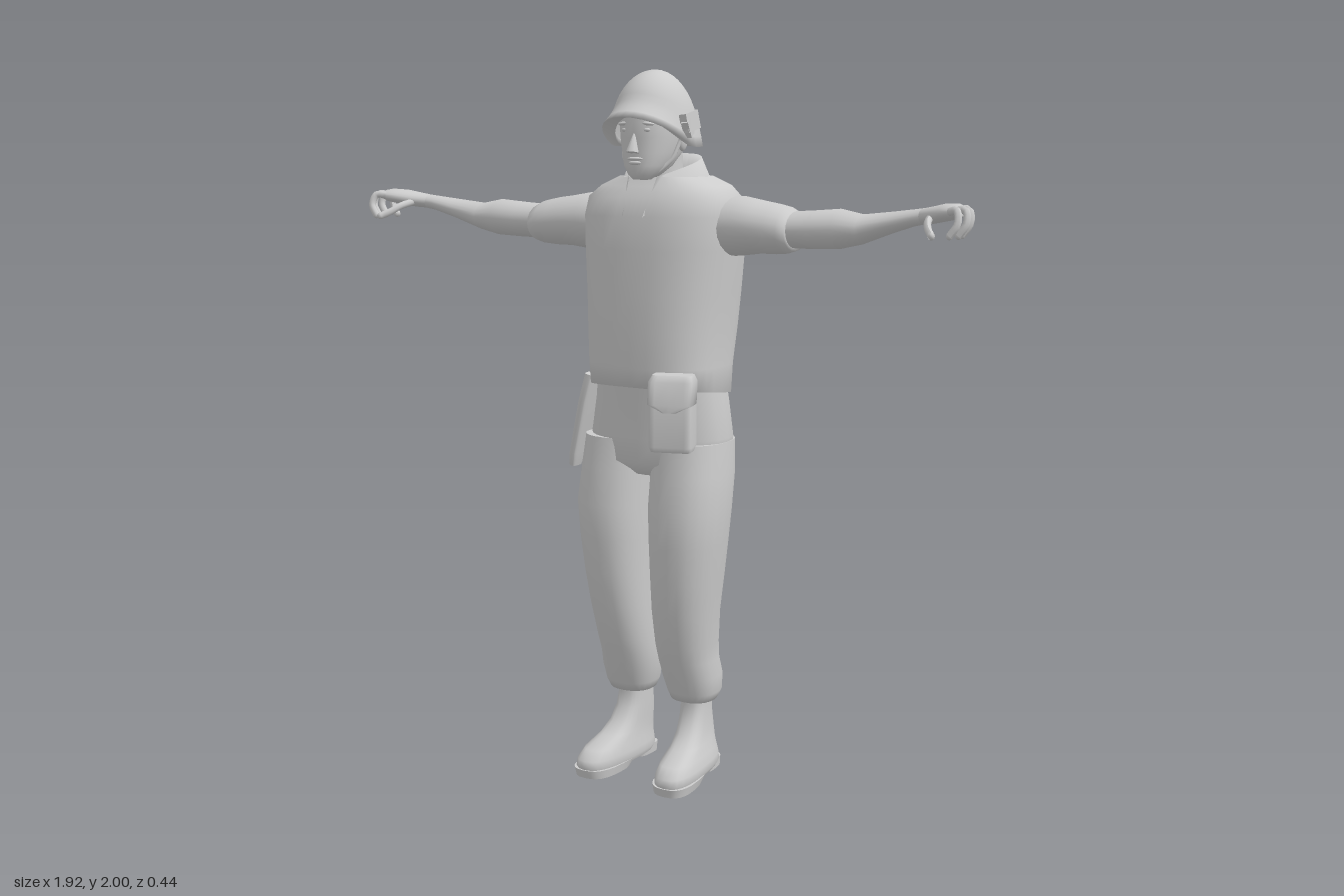
import * as THREE from 'three';

const material = new THREE.MeshStandardMaterial({ color: 0xcccccc, side: THREE.DoubleSide });

// Surface from rows of points; columns join up when closed.
function grid(rows, closed) {
  const n = rows[0].length, index = [];
  for (let j = 0; j < rows.length - 1; j++) {
    for (let i = 0; i < (closed ? n : n - 1); i++) {
      const a = j * n + i, b = j * n + (i + 1) % n;
      index.push(a, b, b + n, a, b + n, a + n);
    }
  }
  const geo = new THREE.BufferGeometry();
  geo.setAttribute('position', new THREE.Float32BufferAttribute(rows.flat(2), 3));
  geo.setIndex(index);
  geo.computeVertexNormals();
  return geo;
}

// Loft through rounded sections [height, a0, a1, z0, z1], capped at both ends.
// Along 'y' the a-range is x; along 'x' it is y. Higher power gives squarer sections.
function loft(sections, { axis = 'y', power = 2.3, seg = 24, warp } = {}) {
  const ring = ([h, a0, a1, z0, z1], size = 1) => Array.from({ length: seg }, (_, i) => {
    const t = i / seg * Math.PI * 2;
    const round = v => Math.sign(v) * Math.abs(v) ** (2 / power) * size / 2;
    const s = round(Math.sin(t)), z = (z0 + z1) / 2 + (z1 - z0) * round(Math.cos(t));
    const m = (a0 + a1) / 2;
    const p = axis === 'y' ? [m + (a1 - a0) * s, h, z] : [h, m - (a1 - a0) * s, z];
    return warp ? warp(p) : p;
  });
  const first = sections[0], last = sections[sections.length - 1];
  return grid([ring(first, 0), ring(first), ...sections.map(s => ring(s)), ring(last), ring(last, 0)], true);
}

// x -> offset + scale * x, keeping faces outward when mirrored.
function remapX(geo, scale, offset) {
  const g = geo.clone().applyMatrix4(new THREE.Matrix4().makeScale(scale, 1, 1)).translate(offset, 0, 0);
  if (scale < 0) g.setIndex(Array.from(g.index.array).reverse());
  g.computeVertexNormals();
  return g;
}

export function createModel() {
  const model = new THREE.Group();
  const add = (name, geo, pos = [0, 0, 0], rot = [0, 0, 0], size = [1, 1, 1]) => {
    const mesh = new THREE.Mesh(geo, material);
    mesh.name = name;
    mesh.position.set(...pos);
    mesh.rotation.set(...rot);
    mesh.scale.set(...size);
    model.add(mesh);
  };
  const box = (...s) => new THREE.BoxGeometry(...s);
  const ball = new THREE.SphereGeometry(1, 14, 10);

  // Torso: vest with a hem that dips at the back, and trouser seat
  add('vest', loft([
    [1.14, -.13, .21, -.14, .11], [1.13, -.155, .235, -.17, .145], [1.2, -.16, .232, -.19, .15],
    [1.3, -.165, .238, -.21, .152], [1.4, -.17, .245, -.22, .15], [1.52, -.178, .258, -.215, .145],
    [1.61, -.182, .264, -.2, .137], [1.66, -.175, .255, -.185, .118], [1.69, -.14, .225, -.17, .095],
    [1.715, -.08, .165, -.155, .08],
  ], { power: 2.6, seg: 36, warp: ([x, y, z]) => [x, y < 1.2 ? y + .12 * z : y, z] }));
  add('trouserSeat', loft([
    [.89, -.08, .155, -.1, .07], [.93, -.17, .245, -.145, .11], [1, -.175, .25, -.16, .11],
    [1.1, -.155, .237, -.155, .115], [1.17, -.145, .225, -.15, .12],
  ]));

  // Turned-up collar, open to a V at the front
  const collar = [0, 1, 2].map(k => Array.from({ length: 33 }, (_, i) => {
    const t = 1 - i / 16, e = t ** 6, a = Math.PI - t * 2.6;
    const r = [.035, 0, -.014][k];
    const y = [1.685 - .075 * e, 1.775 - .06 * t * t, 1.7 - .06 * e][k];
    const pull = k === 1 ? .15 : .55;
    return [.04 + (.1 + r) * Math.sin(a) * (1 - pull * e), y, -.03 + (.11 + r) * Math.cos(a) + (k === 1 ? .02 : .045) * e];
  }));
  add('collar', grid(collar, false));

  // Head
  add('neck', loft([[1.62, -.03, .11, -.09, .07], [1.7, -.02, .1, -.08, .055], [1.8, -.02, .1, -.07, .06]], { power: 2 }));
  add('head', loft([
    [1.708, .015, .065, .065, .108], [1.72, 0, .08, .03, .122], [1.745, -.02, .1, -.02, .128],
    [1.78, -.032, .112, -.06, .128], [1.82, -.04, .12, -.078, .13], [1.86, -.043, .123, -.085, .132],
    [1.91, -.04, .12, -.08, .125],
  ]));
  add('nose', new THREE.ConeGeometry(.018, .06, 8), [.04, 1.81, .132], [-.2, 0, 0]);
  add('upperLip', ball, [.04, 1.764, .125], [0, 0, 0], [.024, .005, .009]);
  add('lowerLip', ball, [.04, 1.753, .125], [0, 0, 0], [.02, .006, .008]);
  for (const s of [-1, 1]) {
    add('eye', ball, [.04 + s * .032, 1.84, .117], [0, 0, 0], [.013, .007, .01]);
    add('eyebrow', ball, [.04 + s * .034, 1.857, .118], [0, 0, -s * .1], [.022, .006, .012]);
    add('ear', ball, [.04 + s * .08, 1.815, .01], [0, 0, 0], [.012, .032, .02]);
  }

  // Helmet: dome with a raised peak at the front, rim turned inside
  const helmet = [];
  for (let j = 0; j <= 14; j++) {
    helmet.push(Array.from({ length: 36 }, (_, i) => {
      const a = i / 36 * Math.PI * 2, front = Math.max(0, Math.cos(a)) ** 1.5;
      const rim = 1.795 + .078 * front;
      const phi = Math.min(j, 12) / 12 * Math.PI / 2;
      const flare = Math.max(0, Math.min(j, 12) / 12 - .75) * 4;
      let r = Math.sin(phi), y = rim + (2 - rim) * Math.cos(phi);
      let peak = (.008 + .038 * front ** 1.5) * flare ** 1.5;
      if (j > 12) { r = .9; y = rim + (j - 12) * .015 - .012; peak = 0; }
      return [.043 + (.12 * r + peak) * Math.sin(a), y, .024 + (.126 * r + peak) * Math.cos(a)];
    }));
  }
  add('helmet', grid(helmet.reverse(), true));
  add('helmetBuckle', box(.022, .05, .065), [.163, 1.862, .045], [.2, 0, .1]);
  add('helmetClip', box(.02, .045, .03), [.165, 1.845, .06], [.5, .2, 0]);
  // Strap hanging under the rim
  const strap = new THREE.CatmullRomCurve3([[-.05, 1.81, .04], [-.03, 1.755, .06], [.04, 1.712, .085],
    [.11, 1.755, .06], [.13, 1.81, .04]].map(p => new THREE.Vector3(...p)));
  add('chinStrap', new THREE.TubeGeometry(strap, 24, .006, 6));

  // Arms, measured outward from the shoulder
  const armWarp = { axis: 'x', seg: 20, power: 2 };
  const armParts = [
    ['sleeve', loft([
      [0, 1.5, 1.66, -.14, .05], [.06, 1.505, 1.665, -.142, .05], [.12, 1.512, 1.655, -.14, .045],
      [.17, 1.512, 1.648, -.135, .042], [.21, 1.515, 1.64, -.13, .035], [.235, 1.522, 1.628, -.122, .028],
      [.235, 1.535, 1.615, -.11, .015],
    ], armWarp)],
    ['arm', loft([
      [.18, 1.53, 1.625, -.11, .02], [.3, 1.53, 1.632, -.115, .012], [.38, 1.533, 1.638, -.12, .015],
      [.45, 1.547, 1.625, -.115, 0], [.55, 1.58, 1.635, -.098, -.008], [.62, 1.6, 1.643, -.077, -.015],
      [.66, 1.607, 1.648, -.07, -.013],
    ], armWarp)],
    ['palm', loft([
      [.64, 1.605, 1.645, -.073, -.015], [.68, 1.608, 1.652, -.074, .005], [.72, 1.615, 1.66, -.07, .028],
      [.76, 1.622, 1.662, -.062, .036], [.78, 1.63, 1.655, -.052, .03],
    ], armWarp)],
  ];
  const digits = [-.047, -.02, .007, .029].map((z, i) => {
    const reach = [.785, .802, .805, .79][i];
    return [[.755, 1.643, z], [reach - .008, 1.646, z * 1.15 + .008], [reach, 1.615, z * 1.2 + .018], [reach - .02, 1.585, z * 1.2 + .024]];
  });
  digits.push([[.68, 1.625, -.01], [.695, 1.612, .04], [.71, 1.597, .065], [.73, 1.585, .088]]);
  for (const points of digits) {
    const path = new THREE.CatmullRomCurve3(points.map(p => new THREE.Vector3(...p)));
    const tip = new THREE.SphereGeometry(.01, 8, 6).translate(...points[3]);
    armParts.push(['finger', new THREE.TubeGeometry(path, 10, .0105, 8)], ['fingertip', tip]);
  }
  for (const [name, geo] of armParts) {
    add('right_' + name, remapX(geo, -1, -.15));
    const left = remapX(geo, .89, .23);
    const p = left.attributes.position;
    for (let i = 0; i < p.count; i++) p.setZ(i, p.getZ(i) + .03 * (p.getX(i) - .23));
    add('left_' + name, left);
  }

  // Legs and boots, mirrored across the body's middle
  const toeOut = { power: 2.7, warp: ([x, y, z]) => [x + .08 * z, y, z] };
  const legParts = [
    ['trouserLeg', loft([
      [.235, .085, .185, -.095, .005], [.225, .07, .2, -.11, .02], [.25, .06, .212, -.122, .032],
      [.3, .05, .217, -.122, .05], [.35, .047, .212, -.112, .068], [.4, .045, .215, -.105, .085],
      [.5, .045, .225, -.1, .11], [.6, .045, .238, -.105, .125], [.7, .043, .25, -.108, .133],
      [.8, .04, .26, -.112, .135], [.9, .037, .257, -.135, .117], [.99, .03, .25, -.145, .103],
    ])],
    ['boot', loft([
      [.015, .097, .203, -.128, .175], [.03, .09, .212, -.133, .182], [.05, .092, .21, -.13, .178],
      [.075, .096, .202, -.125, .15], [.1, .1, .192, -.123, .08], [.13, .1, .186, -.12, .035],
      [.17, .1, .181, -.116, .008], [.21, .1, .18, -.112, -.005], [.27, .1, .18, -.11, -.005],
    ], toeOut)],
    ['sole', loft([[0, .095, .207, 0, .178], [.025, .09, .213, -.03, .184]], toeOut)],
    ['heel', loft([[0, .108, .193, -.133, -.04], [.03, .105, .195, -.134, -.035]], { ...toeOut, power: 4 })],
  ];
  for (const [name, geo] of legParts) {
    add('left_' + name, geo);
    add('right_' + name, remapX(geo, -1, .065));
  }

  // Pouch on the left hip with a flap, holster on the right
  const yaw = [0, .3, 0];
  add('pouch', loft([[0, -.055, .055, -.035, .035], [.015, -.06, .06, -.042, .045], [.12, -.06, .06, -.042, .042],
    [.2, -.058, .058, -.04, .025]], { power: 7 }), [.178, .988, .157], yaw);
  add('pouchFlap', loft([[.11, -.02, .02, -.03, .05], [.13, -.063, .063, -.03, .05], [.19, -.063, .063, -.044, .04],
    [.207, -.055, .055, -.035, .02]], { power: 6 }), [.178, .988, .157], yaw);
  add('holster', loft([[-.14, -.01, .01, -.02, .025], [-.1, -.013, .013, -.03, .035], [.06, -.015, .015, -.045, .045],
    [.14, -.015, .015, -.04, .04]], { power: 4 }), [-.18, 1.025, .04], [0, 0, -.25]);
  add('holsterGrip', new THREE.CylinderGeometry(.016, .016, .07, 10), [-.16, 1.135, -.01], [1.2, 0, 0]);

  return model;
}
